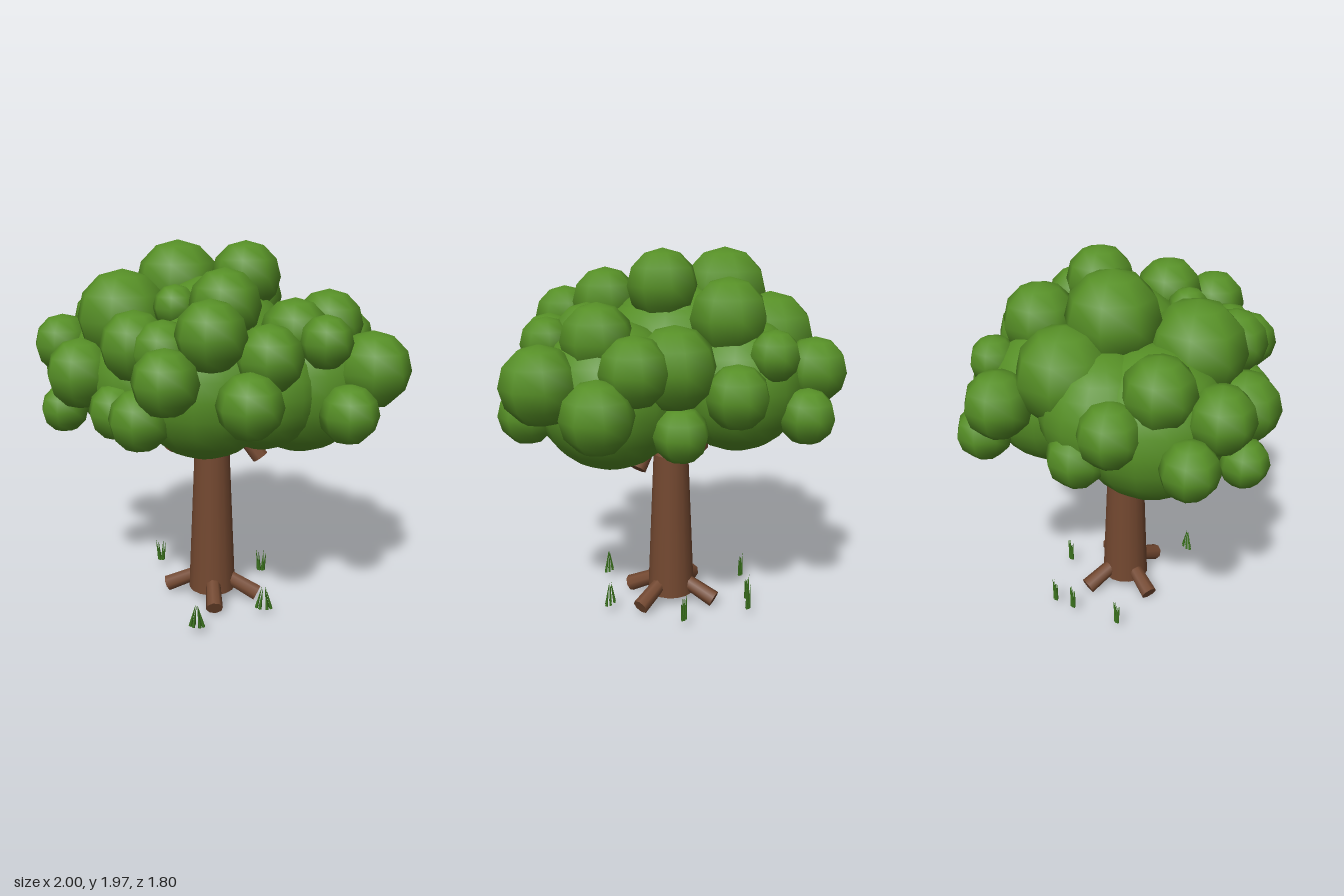
import * as THREE from 'three';

const leafGreen = new THREE.MeshStandardMaterial({ color: 0x568f26 });
const barkBrown = new THREE.MeshStandardMaterial({ color: 0x734830 });
const grassGreen = new THREE.MeshStandardMaterial({ color: 0x3f7a20 });

function add(parent, name, geometry, material) {
  const mesh = new THREE.Mesh(geometry, material);
  mesh.name = name;
  parent.add(mesh);
  return mesh;
}

// Tapered rod between two points
function rod(parent, name, from, to, r0, r1, sides, material) {
  const a = new THREE.Vector3(...from), b = new THREE.Vector3(...to);
  const dir = b.clone().sub(a);
  const mesh = add(parent, name, new THREE.CylinderGeometry(r1, r0, dir.length(), sides), material);
  mesh.position.copy(a).add(b).multiplyScalar(0.5);
  mesh.quaternion.setFromUnitVectors(new THREE.Vector3(0, 1, 0), dir.normalize());
}

// Large masses of the crown: x, y, z, radius
const MASSES = [
  [0, 1.37, 0, 0.42], [0, 1.45, 0, 0.36],
  [-0.465, 1.3, -0.12, 0.37], [0.45, 1.295, 0.09, 0.365],
  [0.02, 1.32, -0.38, 0.34], [0, 1.31, 0.34, 0.36],
  [-0.35, 1.36, -0.32, 0.3], [0.27, 1.29, 0.28, 0.3],
  [-0.32, 1.3, 0.22, 0.28],
];

// Small leaf puffs around the crown: x, y, z, radius
const PUFFS = [
  [-0.115, 1.4, -0.735, 0.165], [0.03, 1.2, -0.76, 0.14],
  [0.15, 1.5, -0.63, 0.125], [0.335, 1.33, -0.53, 0.155],
  [-0.6, 1.38, -0.43, 0.155], [-0.23, 1.52, -0.445, 0.24],
  [-0.65, 1.54, -0.21, 0.175], [-0.225, 1.74, -0.185, 0.235],
  [0.13, 1.66, -0.38, 0.195], [0.155, 1.8, -0.03, 0.18],
  [0.46, 1.46, -0.27, 0.2], [0.66, 1.47, -0.18, 0.165],
  [0.825, 1.29, -0.09, 0.17], [-0.86, 1.26, -0.19, 0.14],
  [-0.82, 1.435, 0, 0.16], [-0.45, 1.6, 0.13, 0.245],
  [-0.635, 1.34, 0.29, 0.18], [-0.765, 1.13, 0.2, 0.125],
  [0.58, 1.58, 0.07, 0.175], [0.42, 1.56, 0.24, 0.17],
  [0.795, 1.39, 0.24, 0.19], [0.57, 1.54, 0.37, 0.13],
  [0.69, 1.21, 0.41, 0.145], [0.095, 1.7, 0.35, 0.175],
  [-0.15, 1.68, 0.3, 0.11], [-0.31, 1.52, 0.48, 0.17],
  [-0.16, 1.51, 0.56, 0.15], [0.07, 1.6, 0.635, 0.165],
  [0.32, 1.49, 0.55, 0.16], [0.25, 1.305, 0.69, 0.155],
  [-0.115, 1.41, 0.74, 0.155], [-0.265, 1.2, 0.61, 0.15],
  [-0.42, 1.19, 0.44, 0.14], [0.49, 1.16, -0.32, 0.135],
  [-0.43, 1.21, -0.5, 0.15],
];

// Grass tufts: x, z, and blade spread at the base and at the tips
const TUFTS = [
  [-0.03, 0.46, 0.035, 0.006], [0.3, 0.23, 0.04, 0.012],
  [-0.37, -0.26, 0.012, 0.03], [0.25, -0.21, 0.015, 0.03],
  [-0.135, -0.405, 0.012, 0.03], [-0.03, -0.46, 0.012, 0.03],
];

export function createModel() {
  const tree = new THREE.Group();
  tree.name = 'tree';

  // Crown
  const crown = new THREE.Group();
  crown.name = 'crown';
  tree.add(crown);
  for (const [x, y, z, r] of MASSES)
    add(crown, 'crownMass', new THREE.SphereGeometry(r, 16, 12), leafGreen).position.set(x, y, z);
  for (const [x, y, z, r] of PUFFS)
    add(crown, 'leafPuff', new THREE.SphereGeometry(r, 8, 6), leafGreen).position.set(x, y, z);

  // Trunk with a slightly bevelled top
  const cx = -0.013, cz = 0.018;
  rod(tree, 'trunk', [cx, 0.058, cz], [cx, 0.88, cz], 0.132, 0.096, 16, barkBrown);
  rod(tree, 'trunkTop', [cx, 0.88, cz], [cx, 0.9, cz], 0.096, 0.084, 16, barkBrown);

  // Branch stubs running up into the crown
  rod(tree, 'leftBranch', [0.255, 0.86, 0.065], [0.1, 1.06, 0.04], 0.045, 0.045, 8, barkBrown);
  rod(tree, 'rightBranch', [-0.265, 0.86, -0.04], [-0.105, 1.06, -0.04], 0.045, 0.045, 8, barkBrown);

  // Roots spreading from the trunk base
  const rootEnds = [[0.25, 0.065], [-0.03, -0.25], [-0.27, 0.02], [0.035, 0.265]];
  for (const [x, z] of rootEnds)
    rod(tree, 'root', [x, 0.047, z], [cx + (x - cx) * 0.3, 0.13, cz + (z - cz) * 0.3], 0.046, 0.04, 8, barkBrown);

  // Grass tufts of thin pointed blades
  for (const [x, z, base, tip] of TUFTS) {
    const tuft = new THREE.Group();
    tuft.name = 'grassTuft';
    tuft.position.set(x, 0.05, z);
    tree.add(tuft);
    for (let i = 0; i < 6; i++) {
      const a = (i / 6) * Math.PI * 2, c = Math.cos(a), s = Math.sin(a) * 0.4;
      rod(tuft, 'blade', [c * base, 0, s * base], [c * tip, 0.115 + 0.012 * (i % 2), s * tip * 0.3], 0.009, 0.0005, 4, grassGreen);
    }
  }
  return tree;
}
